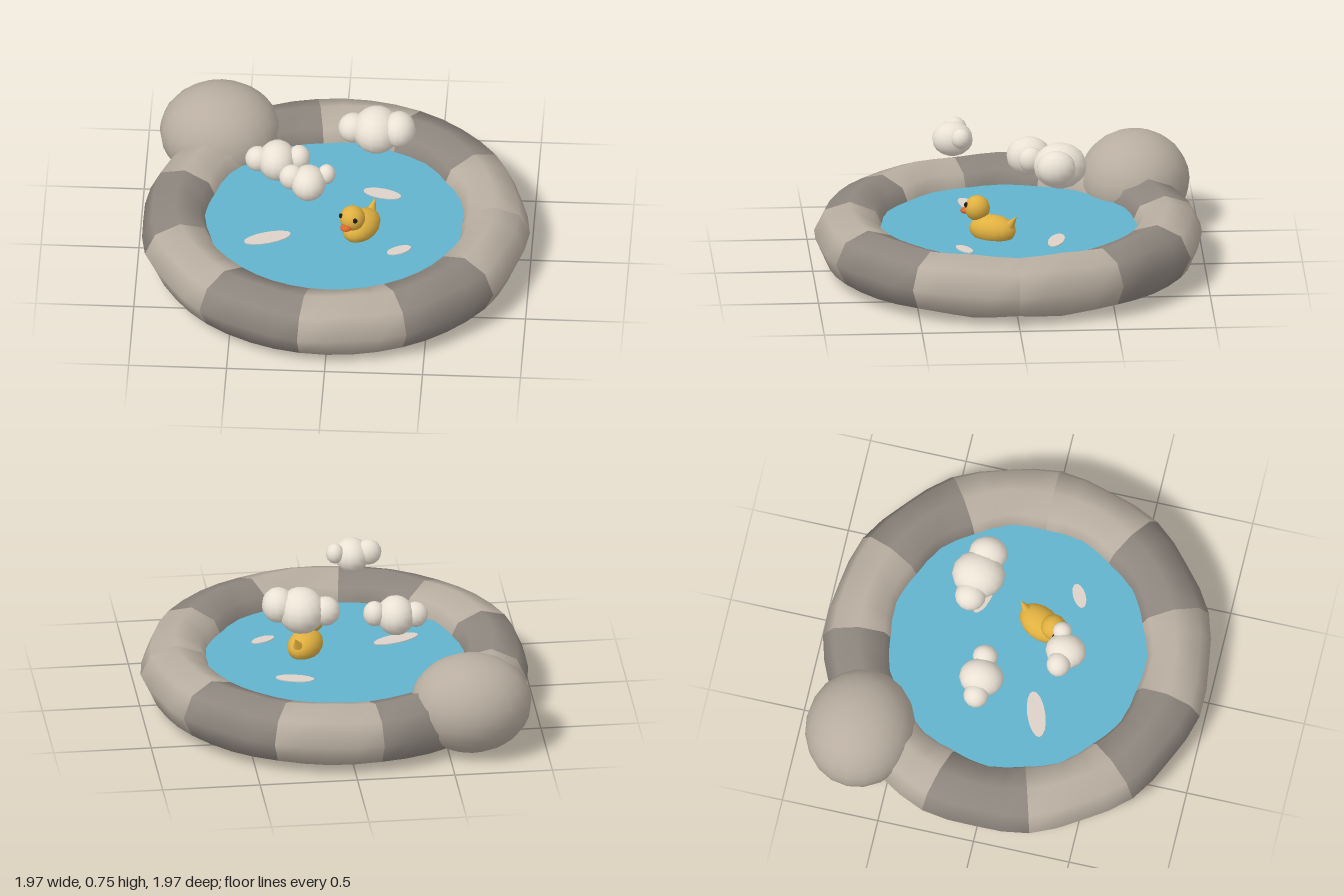
import * as THREE from 'three';
import { mergeVertices } from 'three/addons/utils/BufferGeometryUtils.js';

const mat = (color) => new THREE.MeshStandardMaterial({ color });
const STONE = mat(0xb8ada0), DARK = mat(0x8e867e), WATER = mat(0x62b3cc), FLOOR = mat(0x6a625b);
const CLOUD = mat(0xebe2d5), GLINT = mat(0xdcd2c8), YELLOW = mat(0xe0b040);
const ORANGE = mat(0xd9682c), BLACK = mat(0x1c1a18);

function add(parent, name, geometry, material, x = 0, y = 0, z = 0) {
  const mesh = new THREE.Mesh(geometry, material);
  mesh.name = name;
  mesh.position.set(x, y, z);
  parent.add(mesh);
  return mesh;
}

function ball(parent, name, material, [x, y, z], [rx, ry, rz], w = 16, h = 12) {
  const mesh = add(parent, name, new THREE.SphereGeometry(1, w, h), material, x, y, z);
  mesh.scale.set(rx, ry, rz);
  return mesh;
}

function group(parent, name) {
  const g = new THREE.Group();
  g.name = name;
  parent.add(g);
  return g;
}

// One padded section of the ring, gently scalloped along its length
const SECTIONS = 11, RING_R = 0.812, TUBE_R = 0.17;
function ringSection(k) {
  const step = (Math.PI * 2) / SECTIONS;
  let geo = new THREE.TorusGeometry(RING_R, TUBE_R, 8, 4, step);
  geo.rotateX(-Math.PI / 2);
  const p = geo.attributes.position;
  for (let i = 0; i < p.count; i++) {
    const x = p.getX(i), z = p.getZ(i), r = Math.hypot(x, z);
    const wave = Math.cos(SECTIONS * Math.atan2(-z, x));
    const f = (RING_R + (r - RING_R) * (1.03 + 0.05 * wave)) / r;
    p.setXYZ(i, x * f, p.getY(i) * (0.96 - 0.04 * wave), z * f);
  }
  geo.deleteAttribute('uv');
  geo.deleteAttribute('normal');
  geo = mergeVertices(geo, 1e-4);
  geo.computeVertexNormals();
  geo.rotateY(k * step);
  return geo;
}

export function createModel() {
  const model = new THREE.Group();
  model.name = 'duckPond';

  // Ring of alternating sections
  const ring = group(model, 'ring');
  for (let k = 0; k < SECTIONS; k++) {
    add(ring, 'ringSection', ringSection(k), k % 2 ? DARK : STONE, 0, 0.175, 0);
  }

  // Water and floor, edges buried in the ring
  add(model, 'water', new THREE.CylinderGeometry(0.72, 0.72, 0.14, 44), WATER, 0, 0.15, 0);
  add(model, 'floor', new THREE.CylinderGeometry(0.72, 0.72, 0.01, 44), FLOOR, 0, 0.074, 0);

  // Boulder resting on the back right of the ring
  ball(model, 'boulder', STONE, [-0.62, 0.253, -0.68], [0.31, 0.252, 0.28], 20, 14);

  // Glints on the water: x, z, half length, half width, turn
  for (const [x, z, a, b, turn] of [
    [-0.335, 0.175, 0.125, 0.046, 0.36],
    [0.34, 0.245, 0.067, 0.032, 0.5],
    [0.23, -0.23, 0.1, 0.04, -0.25],
  ]) {
    const glint = add(model, 'glint', new THREE.CylinderGeometry(1, 1, 0.006, 16), GLINT, x, 0.222, z);
    glint.scale.set(a, 1, b);
    glint.rotation.y = turn;
  }

  // Clouds of three puffs: centre and radii of each
  for (const puffs of [
    [[[-0.3, 0.498, -0.12], [0.098, 0.1, 0.115]],
      [[-0.4, 0.5, -0.125], [0.065, 0.065, 0.065]],
      [[-0.19, 0.515, -0.125], [0.058, 0.065, 0.065]]],
    [[[-0.12, 0.66, 0.28], [0.09, 0.088, 0.105]],
      [[-0.205, 0.68, 0.262], [0.066, 0.066, 0.062]],
      [[-0.03, 0.69, 0.242], [0.046, 0.052, 0.05]]],
    [[[0.2, 0.615, -0.25], [0.122, 0.117, 0.137]],
      [[0.08, 0.612, -0.265], [0.078, 0.075, 0.08]],
      [[0.315, 0.64, -0.225], [0.085, 0.09, 0.1]]],
  ]) {
    const cloud = group(model, 'cloud');
    for (const [centre, radii] of puffs) ball(cloud, 'puff', CLOUD, centre, radii, 14, 10);
  }

  // Duck, built facing +z and then turned
  const duck = group(model, 'duck');
  duck.position.set(0.14, 0, 0.09);
  duck.rotation.y = -0.5;
  ball(duck, 'body', YELLOW, [0, 0.258, 0], [0.085, 0.075, 0.125]);
  ball(duck, 'head', YELLOW, [0, 0.36, 0.087], [0.065, 0.065, 0.065]);
  const tail = add(duck, 'tail', new THREE.ConeGeometry(0.042, 0.11, 10), YELLOW, 0, 0.302, -0.105);
  tail.rotation.x = -0.6;
  ball(duck, 'beak', ORANGE, [0, 0.338, 0.148], [0.03, 0.016, 0.033], 12, 8);
  for (const side of [-1, 1]) {
    ball(duck, 'eye', BLACK, [side * 0.042, 0.383, 0.129], [0.012, 0.014, 0.012], 10, 8);
  }
  return model;
}
